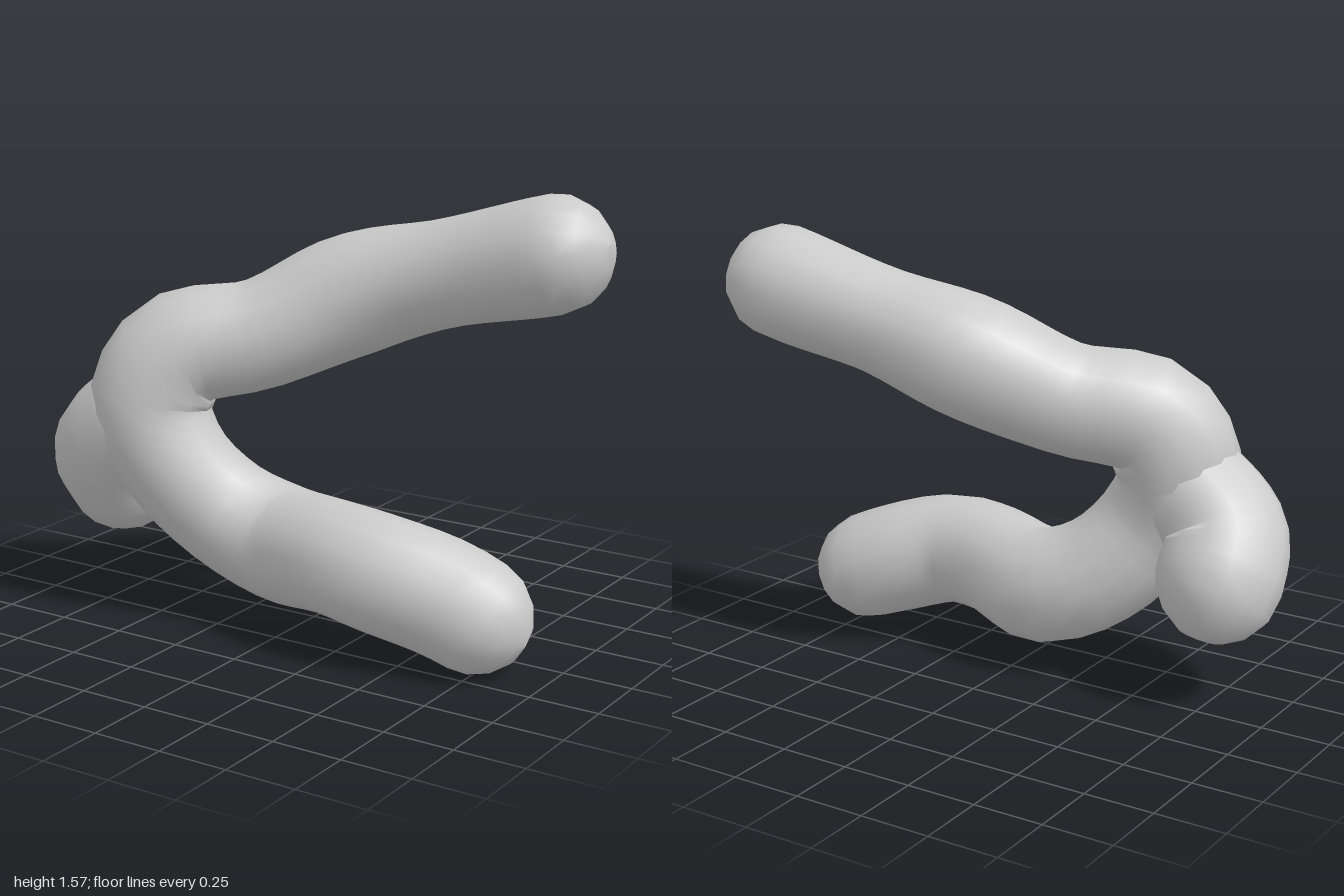
import * as THREE from 'three';

const SIDES = 14;

// Round limb swept along points [x, y, z, radius]; the ends close as domes.
function limb(name, points, rings) {
  const path = new THREE.CatmullRomCurve3(points.map((p) => new THREE.Vector3(p[0], p[1], p[2])));
  const radii = new THREE.CatmullRomCurve3(points.map((p) => new THREE.Vector3(p[0], p[1], p[3])));
  path.arcLengthDivisions = 400;
  const length = path.getLength();
  const startR = points[0][3], endR = points[points.length - 1][3];

  // Distances along the path, closer together on the domes
  const stops = [];
  const dome = [0, 0.4, 0.8, 1.2];
  for (const a of dome) stops.push(startR * (1 - Math.cos(a)));
  for (let i = 0; i <= rings; i++) stops.push(startR + (length - startR - endR) * (i / rings));
  for (const a of [...dome].reverse()) stops.push(length - endR * (1 - Math.cos(a)));

  const positions = [], index = [];
  const normal = new THREE.Vector3(0, 0, 1);
  stops.forEach((s, i) => {
    const u = s / length;
    const t = path.getUtoTmapping(u);
    const centre = path.getPoint(t), tangent = path.getTangent(t);
    normal.addScaledVector(tangent, -normal.dot(tangent)).normalize();
    const side = new THREE.Vector3().crossVectors(tangent, normal);
    const fade = (d, r) => (d < r ? Math.sqrt(Math.max(0, 1 - (1 - d / r) ** 2)) : 1);
    const r = Math.max(1e-4, radii.getPoint(t).z * fade(s, startR) * fade(length - s, endR));
    for (let k = 0; k < SIDES; k++) {
      const a = (k / SIDES) * Math.PI * 2;
      const v = centre.clone().addScaledVector(normal, r * Math.cos(a)).addScaledVector(side, r * Math.sin(a));
      positions.push(v.x, v.y, v.z);
      if (i === 0) continue;
      const n = (k + 1) % SIDES, lo = (i - 1) * SIDES, hi = i * SIDES;
      index.push(lo + k, lo + n, hi + k, lo + n, hi + n, hi + k);
    }
  });

  const geometry = new THREE.BufferGeometry();
  geometry.setAttribute('position', new THREE.Float32BufferAttribute(positions, 3));
  geometry.setIndex(index);
  geometry.computeVertexNormals();
  const mesh = new THREE.Mesh(geometry, new THREE.MeshStandardMaterial({ color: 0xcccccc }));
  mesh.name = name;
  return mesh;
}

export function createModel() {
  const model = new THREE.Group();
  model.name = 'branchingTube';

  // Long C-shaped tube: upper arm, bend, lower arm
  model.add(limb('mainTube', [
    [1.0, 1.43, -0.25, 0.2],
    [0.76, 1.37, -0.24, 0.205],
    [0.4, 1.28, -0.2, 0.19],
    [0.07, 1.18, -0.14, 0.22],
    [-0.2, 1.04, 0.03, 0.2],
    [-0.46, 0.97, 0.18, 0.215],
    [-0.54, 0.78, 0.235, 0.22],
    [-0.45, 0.58, 0.22, 0.2],
    [-0.29, 0.4, 0.14, 0.2],
    [-0.08, 0.31, 0.1, 0.21],
    [0.2, 0.33, 0.19, 0.2],
    [0.4, 0.32, 0.225, 0.205],
    [0.64, 0.25, 0.16, 0.205],
    [0.92, 0.13, 0.13, 0.19],
  ], 44));

  // Short stump hanging from the outside of the bend
  model.add(limb('stump', [
    [-0.4, 0.84, 0.22, 0.2],
    [-0.6, 0.72, 0.23, 0.21],
    [-0.74, 0.59, 0.2, 0.22],
    [-0.77, 0.47, 0.11, 0.22],
    [-0.77, 0.29, -0.03, 0.21],
  ], 10));

  return model;
}
